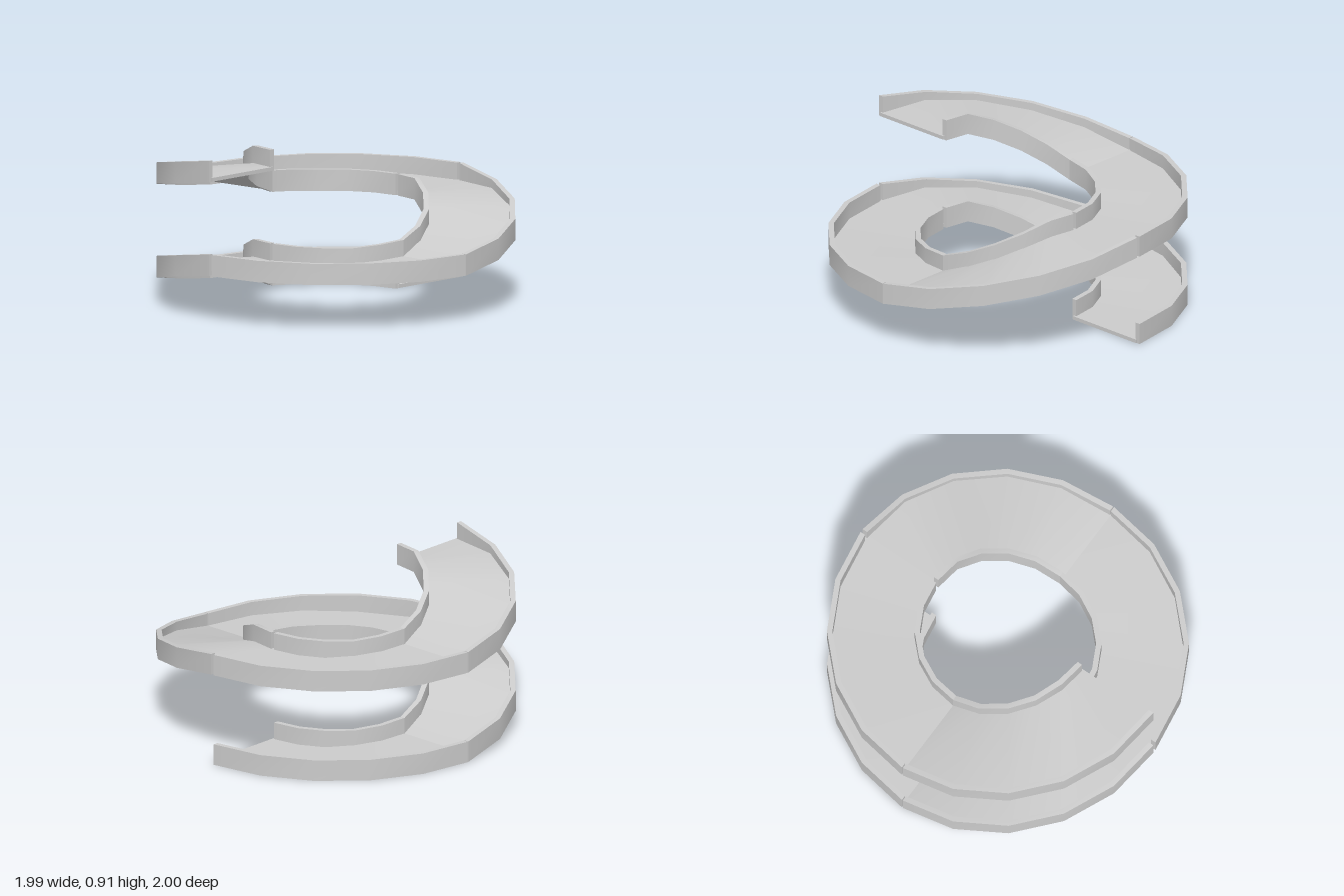
import * as THREE from 'three';
import { toCreasedNormals } from 'three/addons/utils/BufferGeometryUtils.js';

const STEPS = 5;          // facets per quarter turn
const RISE = 0.262;       // climb of one ramp quarter
const WALL_H = 0.12;

// climb of each part at every step of a quarter turn
const LEVEL = {
  innerWall: [0, 0, 0, 0, 0.01, 0.02],
  floor: [0, 0, 0, 0.01, 0.018, 0.025],
  outerWall: [0, 0, 0, 0, 0, 0],
};
const RAMP = {
  innerWall: [0.02, 0.075, 0.14, 0.205, RISE, RISE],
  floor: [0.025, 0.088, 0.153, 0.217, RISE, RISE],
  outerWall: [0, 0.043, 0.1, 0.158, 0.213, RISE],
};

// sweep a rectangular section (r0..r1, y0..y1) through one quarter turn
function sweepQuarter(quarter, lift, r0, r1, y0, y1) {
  const corners = [[r0, y0], [r1, y0], [r1, y1], [r0, y1]];
  const pos = [], index = [];
  for (let i = 0; i <= STEPS; i++) {
    const a = (quarter + i / STEPS) * Math.PI / 2;
    for (const [r, y] of corners) {
      pos.push(r * Math.cos(a), y + lift[i], -r * Math.sin(a));
    }
  }
  for (let i = 0; i < STEPS; i++) {
    for (let j = 0; j < 4; j++) {
      const a = i * 4 + j, d = i * 4 + (j + 1) % 4;
      index.push(a, a + 4, d + 4, a, d + 4, d);
    }
  }
  const e = STEPS * 4;
  index.push(0, 1, 2, 0, 2, 3, e, e + 2, e + 1, e, e + 3, e + 2); // end caps
  const geo = new THREE.BufferGeometry();
  geo.setAttribute('position', new THREE.Float32BufferAttribute(pos, 3));
  geo.setIndex(index);
  return toCreasedNormals(geo, Math.PI / 5);
}

export function createModel() {
  const model = new THREE.Group();
  model.name = 'spiralRamp';
  const material = new THREE.MeshStandardMaterial({ color: 0xcccccc });

  // alternate level and climbing quarters up the spiral
  for (let k = 0; k < 6; k++) {
    const climbing = k % 2 === 1;
    const lifts = climbing ? RAMP : LEVEL;
    const section = new THREE.Group();
    section.name = climbing ? 'rampQuarter' : 'levelQuarter';
    section.position.y = Math.floor(k / 2) * RISE;

    const add = (name, ...size) => {
      const mesh = new THREE.Mesh(sweepQuarter(k, lifts[name], ...size), material);
      mesh.name = name;
      section.add(mesh);
      return mesh;
    };
    add('floor', 0.495, 0.975, 0.003, 0.024);

    // walls sit slightly outwards, leaving narrow joints between quarters
    const mid = (k + 0.5) * Math.PI / 2;
    const dx = 0.003 * Math.sign(Math.cos(mid));
    const dz = -0.01 * Math.sign(Math.sin(mid));
    add('innerWall', 0.48, 0.51, 0, WALL_H).position.set(0, 0, dz);
    add('outerWall', 0.96, 0.99, 0, WALL_H).position.set(dx, 0, dz);
    model.add(section);
  }
  return model;
}
